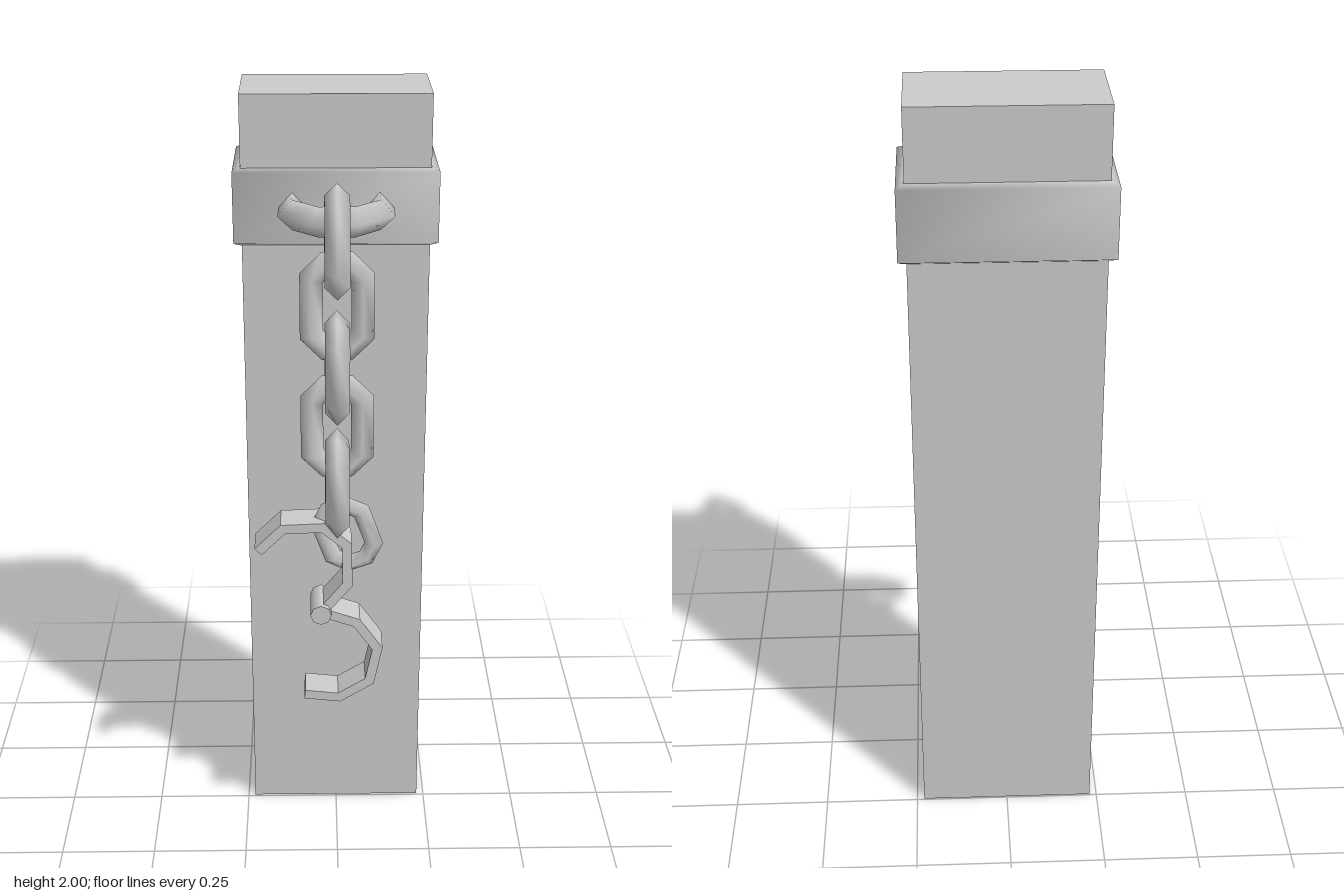
import * as THREE from 'three';

const STEP = Math.PI / 4;
const grey = new THREE.MeshStandardMaterial({ color: 0xcccccc });
const greyOpen = new THREE.MeshStandardMaterial({ color: 0xcccccc, side: THREE.DoubleSide });

function part(parent, name, geometry, material = grey) {
  const mesh = new THREE.Mesh(geometry, material);
  mesh.name = name;
  parent.add(mesh);
  return mesh;
}

// Eight-cornered ring of diamond section, pulled apart along y
function ringGeometry(radius, tube, stretch, segments = 8) {
  const geo = new THREE.TorusGeometry(radius, tube, 4, segments, segments * STEP);
  geo.rotateZ(-STEP / 2);
  const p = geo.attributes.position;
  for (let i = 0; i < p.count; i++) p.setY(i, p.getY(i) + Math.sign(p.getY(i)) * stretch);
  return geo;
}

// Rectangular collar lofted through [height, inset] levels
function collarGeometry(halfX, halfZ, levels) {
  const pos = [], index = [];
  for (const [y, inset] of levels) {
    const x = halfX - inset, z = halfZ - inset;
    pos.push(-x, y, z, x, y, z, x, y, -z, -x, y, -z);
  }
  for (let l = 0; l < levels.length - 1; l++) {
    for (let i = 0; i < 4; i++) {
      const a = l * 4 + i, b = l * 4 + (i + 1) % 4;
      index.push(a, b, b + 4, a, b + 4, a + 4);
    }
  }
  const geo = new THREE.BufferGeometry();
  geo.setAttribute('position', new THREE.Float32BufferAttribute(pos, 3));
  geo.setIndex(index);
  geo.computeVertexNormals();
  return geo;
}

// Flat metal strip following a bent centre line in the xy plane
function stripGeometry(points, thickness, width) {
  const pts = points.map(([x, y]) => new THREE.Vector2(x, y));
  const left = [], right = [];
  pts.forEach((p, i) => {
    const before = p.clone().sub(pts[Math.max(i - 1, 0)]).normalize();
    const after = pts[Math.min(i + 1, pts.length - 1)].clone().sub(p).normalize();
    const dir = before.clone().add(after).normalize();
    const other = after.lengthSq() ? after : before;
    const offset = new THREE.Vector2(-dir.y, dir.x).multiplyScalar(thickness / 2 / dir.dot(other));
    left.push(p.clone().add(offset));
    right.unshift(p.clone().sub(offset));
  });
  return new THREE.ExtrudeGeometry(new THREE.Shape([...left, ...right]), { depth: width, bevelEnabled: false });
}

export function createModel() {
  const model = new THREE.Group();
  model.name = 'postWithShackles';

  // Post, open underneath
  const postGeo = new THREE.BoxGeometry(0.462, 2, 0.241);
  postGeo.setIndex([...postGeo.index.array].filter((_, i) => i < 18 || i >= 24));
  part(model, 'post', postGeo, greyOpen).position.set(0, 1, -0.1265);

  // Metal band around the post
  const levels = [[1.63, 0.019], [1.64, 0], [1.815, 0], [1.825, 0.019]];
  part(model, 'band', collarGeometry(0.251, 0.137, levels), greyOpen).position.z = -0.128;

  // Staple standing out of the band
  const staple = part(model, 'staple', ringGeometry(0.115, 0.037, 0.032, 5));
  staple.rotation.x = Math.PI / 2;
  staple.position.y = 1.73;

  // Chain: alternate links turned a quarter, the first leaning on the staple
  const chain = new THREE.Group();
  chain.name = 'chain';
  model.add(chain);
  const linkGeo = ringGeometry(0.067, 0.03, 0.045);
  [1.69, 1.535, 1.378, 1.225, 1.07].forEach((y, i) => {
    const link = part(chain, 'chainLink', linkGeo);
    link.position.set(0, y, i === 0 ? 0.165 : 0.177);
    link.rotation.order = 'XYZ';
    if (i % 2 === 0) link.rotation.y = Math.PI / 2;
    if (i === 0) link.rotation.x = -0.27;
  });
  const endLink = part(chain, 'endLink', ringGeometry(0.06, 0.024, 0.024));
  endLink.position.set(0.025, 0.93, 0.177);
  endLink.rotation.z = 0.35;

  // Opened cuff: two bent strips meeting at a hinge
  const cuff = new THREE.Group();
  cuff.name = 'cuff';
  model.add(cuff);
  const upper = [[-0.2, 0.9], [-0.137, 0.962], [-0.036, 0.966], [0.024, 0.915], [0.026, 0.805], [-0.036, 0.728]];
  const lower = [[-0.036, 0.722], [0.05, 0.692], [0.104, 0.615], [0.084, 0.517], [0.005, 0.468], [-0.085, 0.478]];
  part(cuff, 'upperCuffArm', stripGeometry(upper, 0.025, 0.087)).position.z = 0.129;
  part(cuff, 'lowerCuffArm', stripGeometry(lower, 0.025, 0.087)).position.z = 0.129;

  // Hinge pin
  const pin = part(cuff, 'hingePin', new THREE.CylinderGeometry(0.027, 0.027, 0.116, 8));
  pin.rotation.x = Math.PI / 2;
  pin.position.set(-0.042, 0.724, 0.174);

  return model;
}
